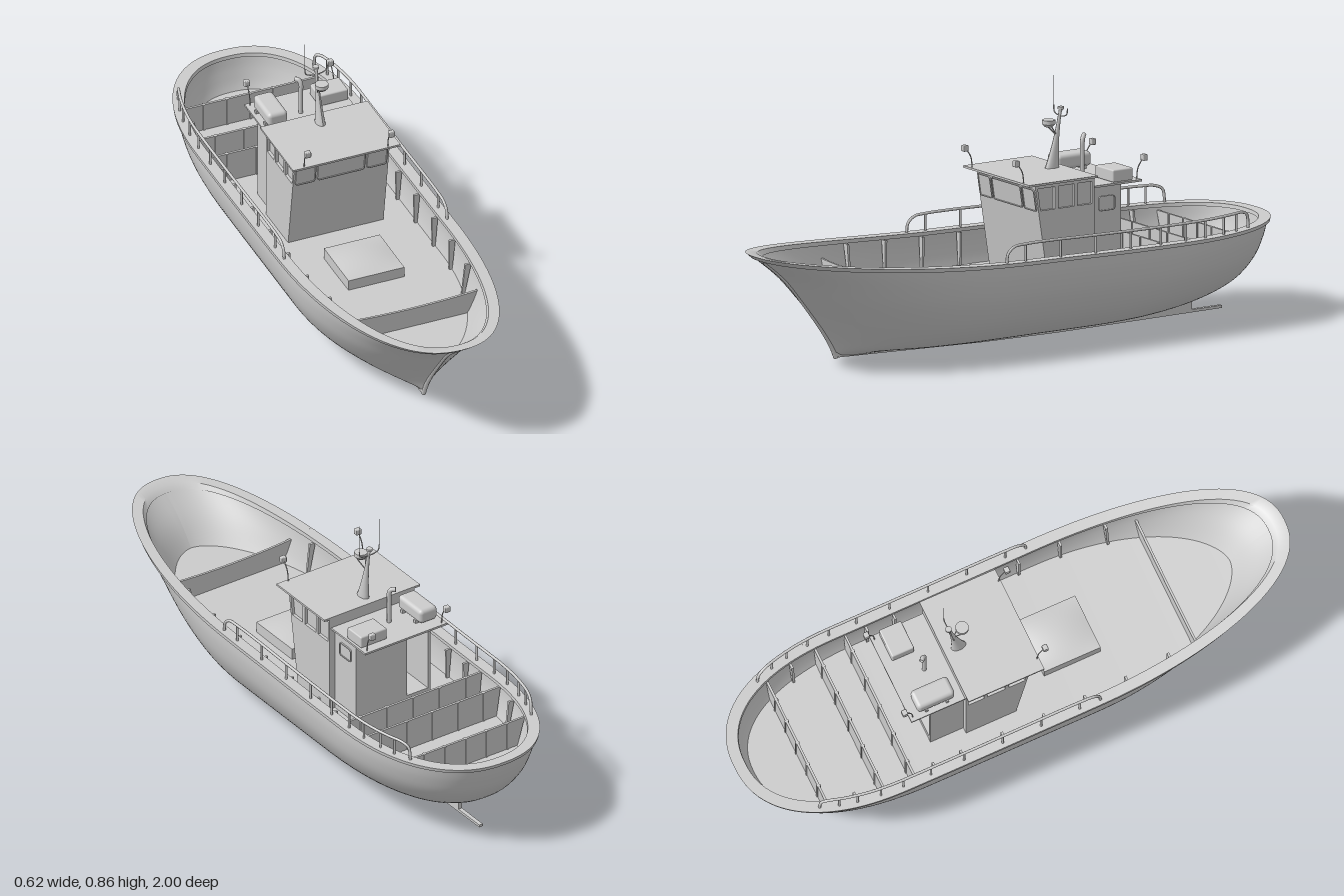
import * as THREE from 'three';
import { toCreasedNormals } from 'three/addons/utils/BufferGeometryUtils.js';
import { RoundedBoxGeometry } from 'three/addons/geometries/RoundedBoxGeometry.js';

const V = (x, y, z) => new THREE.Vector3(x, y, z);
const mat = new THREE.MeshStandardMaterial({ color: 0xcccccc, side: THREE.DoubleSide });
const DECK = 0.6; // deck level as a fraction of hull height

// Waterlines from keel to sheer: height amidships, half beam, bow z, stern z
const LEVELS = [
  [0.02, 0, 0.68, -0.42], [0.03, 0.07, 0.685, -0.5], [0.045, 0.153, 0.692, -0.6], [0.078, 0.205, 0.712, -0.76],
  [0.13, 0.25, 0.752, -0.88], [0.2, 0.285, 0.815, -0.945], [0.27, 0.3, 0.888, -0.975], [0.333, 0.302, 0.99, -0.99]];
const beamCurve = new THREE.CatmullRomCurve3(LEVELS.map(l => V(l[0], l[1], 0)), false, 'catmullrom', 0.5);
const endCurve = new THREE.CatmullRomCurve3(LEVELS.map(l => V(l[2], l[3], 0)), false, 'catmullrom', 0.5);

const sheer = z => (z > 0 ? 0.328 + 0.07 * z ** 1.7 : 0.328 - 0.008 * Math.sin(-Math.PI * Math.max(z, -1)));

// One waterline at curve parameter t, moved inward by inset
function waterline(t, inset = 0) {
  const b = beamCurve.getPoint(t), e = endCurve.getPoint(t);
  const v = THREE.MathUtils.clamp((b.x - 0.02) / 0.313, 0, 1);
  return {
    v, B: Math.max(b.y - inset, 0), zb: e.x - inset, zs: e.y + inset,
    zc: -0.1 - 0.4 * Math.sqrt(v), q: 0.43 + 0.55 * (1 - v) ** 1.4,
  };
}
// Curve parameter for a height fraction
function paramOf(v) {
  let lo = 0, hi = 1;
  for (let i = 0; i < 30; i++) {
    const m = (lo + hi) / 2;
    if ((beamCurve.getPoint(m).x - 0.02) / 0.313 < v) lo = m; else hi = m;
  }
  return hi;
}
function half(w, z) {
  if (z > 0.2) return w.B * Math.max(1 - ((z - 0.2) / (w.zb - 0.2)) ** 2.05, 0) ** w.q;
  if (z < w.zc) return w.B * Math.max(1 - ((z - w.zc) / (w.zs - w.zc)) ** 2.3, 0) ** (1 / 2.3);
  return w.B;
}
const heightAt = (v, z) => 0.02 + (sheer(z) - 0.02) * v;
// Points of one side of a waterline, bow to stern
function sidePoints(w, sign) {
  const zs = [], n = 28;
  for (let i = 0; i < n; i++) zs.push(0.2 + (w.zb - 0.2) * Math.cos((i / n) * Math.PI / 2));
  for (let i = 0; i < 8; i++) zs.push(THREE.MathUtils.lerp(0.2, w.zc, i / 8));
  for (let i = 0; i <= n; i++) zs.push(w.zc + (w.zs - w.zc) * Math.sin((i / n) * Math.PI / 2));
  return zs.map(z => V(sign * half(w, z), heightAt(w.v, z), z));
}
const loop = (t, inset) => {
  const w = waterline(t, inset);
  return [...sidePoints(w, 1), ...sidePoints(w, -1).reverse().slice(1)];
};
// Skin over rows of points
function skin(rows) {
  const n = rows[0].length, pos = rows.flat().flatMap(p => [p.x, p.y, p.z]), idx = [];
  for (let i = 0; i < rows.length - 1; i++) for (let j = 0; j < n - 1; j++) {
    const a = i * n + j, d = a + n;
    idx.push(a, a + 1, d + 1, a, d + 1, d);
  }
  const g = new THREE.BufferGeometry();
  g.setAttribute('position', new THREE.Float32BufferAttribute(pos, 3));
  g.setIndex(idx);
  g.computeVertexNormals();
  return g;
}

export function createModel() {
  const root = new THREE.Group();
  const add = (name, geo, x = 0, y = 0, z = 0) => {
    const m = new THREE.Mesh(geo, mat);
    m.name = name;
    m.position.set(x, y, z);
    root.add(m);
    return m;
  };
  const box = (name, w, h, d, x, y, z) => add(name, new THREE.BoxGeometry(w, h, d), x, y, z);
  const tube = (name, pts, r, seg = 24) =>
    add(name, new THREE.TubeGeometry(new THREE.CatmullRomCurve3(pts, false, 'centripetal'), seg, r, 8));
  const rod = (name, a, b, r1, r2 = r1) => {
    const m = add(name, new THREE.CylinderGeometry(r2, r1, a.distanceTo(b), 10));
    m.position.copy(a).lerp(b, 0.5);
    m.quaternion.setFromUnitVectors(V(0, 1, 0), b.clone().sub(a).normalize());
  };
  // Side profile given as (z, y), with holes, extruded across x
  const side = pts => pts.map(([z, y]) => new THREE.Vector2(-z, y));
  const profile = (name, pts, width, x = 0, holes = []) => {
    const s = new THREE.Shape(side(pts));
    s.holes = holes.map(h => new THREE.Path(side(h)));
    const g = new THREE.ExtrudeGeometry(s, { depth: width, bevelEnabled: false });
    g.translate(0, 0, -width / 2).rotateY(Math.PI / 2);
    return add(name, g, x);
  };

  // Hull, inner bulwark, gunwale and deck
  const tDeck = paramOf(DECK), tRim = paramOf(0.96);
  const steps = (a, b, n, inset) => Array.from({ length: n + 1 }, (_, i) => loop(a + (b - a) * i / n, inset));
  add('hull', skin(steps(0, 1, 30, 0)));
  add('innerBulwark', skin(steps(1, tDeck, 10, 0.022)));
  add('gunwale', toCreasedNormals(skin([loop(tRim, 0), loop(tRim, -0.009), loop(1, -0.009),
    loop(1, 0.03), loop(tRim, 0.03), loop(tRim, 0.018)]), 0.7));
  const wDeck = waterline(tDeck, 0.022), wTop = waterline(1, 0.027);
  add('deck', skin([sidePoints(wDeck, 1), sidePoints(wDeck, -1)]));
  const deckY = z => heightAt(DECK, z);

  // Keel, skeg and stem bar
  profile('keel', [[0.69, 0.04], [0.67, 0.022], [0.1, 0.004], [-0.2, 0], [-0.86, 0.004], [-0.86, 0.013], [-0.74, 0.013],
    [-0.74, 0.09], [-0.6, 0.06], [-0.4, 0.035], [0.3, 0.035]], 0.014);
  tube('stemBar', Array.from({ length: 12 }, (_, i) => {
    const w = waterline(i / 11 * 0.97);
    return V(0, heightAt(w.v, w.zb), w.zb - 0.003);
  }), 0.008, 40);

  // Transverse bulkheads, the aft ones with stiffeners
  for (const [z, sag, rise] of [[0.57, 0.01, 0.84], [-0.47, 0, 0.96], [-0.58, 0, 0.96], [-0.77, 0, 0.93]]) {
    const lo = half(wDeck, z), hi = half(wTop, z), y0 = deckY(z), y1 = heightAt(rise, z);
    const s = new THREE.Shape();
    s.moveTo(-lo, y0);
    s.lineTo(lo, y0);
    s.lineTo(hi, y1);
    s.quadraticCurveTo(0, y1 - 2 * sag, -hi, y1);
    add('bulkhead', new THREE.ExtrudeGeometry(s, { depth: 0.008, bevelEnabled: false, curveSegments: 16 }), 0, 0, z - 0.004);
    if (!sag) {
      for (let i = -2; i <= 2; i++) box('bulkheadStiffener', 0.006, y1 - y0, 0.014, i * lo * 0.4, (y0 + y1) / 2, z);
    }
  }

  // Bulwark frames and side rails
  for (const s of [1, -1]) {
    for (const z of [0.46, 0.3, 0.15, 0, -0.15, -0.3, -0.4, -0.68]) {
      const lo = half(wDeck, z), hi = half(wTop, z), y0 = deckY(z), y1 = sheer(z) - 0.012;
      const rib = new THREE.Shape([[lo, y0], [lo - 0.01, y0], [hi - 0.022, y1], [hi, y1]].map(p => new THREE.Vector2(...p)));
      add('bulwarkFrame', new THREE.ExtrudeGeometry(rib, { depth: 0.008, bevelEnabled: false }), 0, 0, z).scale.x = s;
    }
    const at = (z, h) => V(s * half(waterline(1, 0.01), z), sheer(z) + h, z);
    const top = [at(0.195, -0.005), at(0.19, 0.03), at(0.165, 0.052), at(0.12, 0.058)];
    for (let z = 0; z > -0.75; z -= 0.08) top.push(at(z, 0.06));
    top.push(at(-0.77, 0.058), at(-0.795, 0.045), at(-0.802, -0.005));
    tube('sideRail', top, 0.005, 100);
    for (const z of [0.12, -0.02, -0.16, -0.3, -0.42, -0.52, -0.6, -0.68, -0.74]) rod('railPost', at(z, -0.005), at(z, 0.06), 0.004);
  }

  // Cargo hatch with a domed lid
  const hy = deckY(0.18);
  box('hatchCoaming', 0.2, 0.04, 0.205, 0, hy + 0.02, 0.182);
  const lid = new THREE.PlaneGeometry(0.2, 0.205, 12, 12).rotateX(-Math.PI / 2);
  const lp = lid.attributes.position;
  for (let i = 0; i < lp.count; i++) {
    lp.setY(i, 0.012 * (1 - (lp.getX(i) / 0.1) ** 2) * (1 - (lp.getZ(i) / 0.1025) ** 2));
  }
  lid.computeVertexNormals();
  add('hatchLid', lid, 0, hy + 0.0402, 0.182);

  // Wheelhouse: solid core, side walls with window openings, raked front
  const base = 0.2;
  profile('wheelhouse', [[-0.055, base], [0, 0.552], [-0.237, 0.552], [-0.237, base]], 0.322);
  const panes = [
    [[-0.023, 0.46], [-0.012, 0.535], [-0.08, 0.535], [-0.08, 0.46]],
    [[-0.094, 0.46], [-0.094, 0.535], [-0.158, 0.535], [-0.158, 0.46]],
    [[-0.17, 0.46], [-0.17, 0.535], [-0.228, 0.535], [-0.228, 0.46]]];
  for (const s of [1, -1]) {
    profile('wheelhouseSide', [[-0.055, base], [0, 0.552], [-0.237, 0.552], [-0.237, base]], 0.011, s * 0.1655, panes);
  }
  box('wheelhouseRoof', 0.385, 0.007, 0.275, 0, 0.553, -0.1);

  // Aft house with a doorway recess in its right corner
  box('aftHouse', 0.205, 0.31, 0.122, 0.0475, base + 0.155, -0.297);
  box('doorwaySide', 0.01, 0.31, 0.12, -0.145, base + 0.155, -0.297);
  box('doorwayStep', 0.085, 0.03, 0.12, -0.097, base + 0.02, -0.297);
  box('doorwayLintel', 0.085, 0.02, 0.12, -0.097, 0.5, -0.297);
  box('door', 0.06, 0.26, 0.006, -0.097, base + 0.14, -0.24);
  box('aftRoof', 0.33, 0.007, 0.2, 0, 0.513, -0.332);

  // Framed windows: a thin rounded pane inside a raised ring
  const rounded = (P, w, h, r) => {
    const p = new P(), x = w / 2, y = h / 2;
    p.moveTo(-x + r, -y);
    p.absarc(x - r, -y + r, r, -Math.PI / 2, 0);
    p.absarc(x - r, y - r, r, 0, Math.PI / 2);
    p.absarc(-x + r, y - r, r, Math.PI / 2, Math.PI);
    p.absarc(-x + r, -y + r, r, Math.PI, Math.PI * 1.5);
    return p;
  };
  const windowAt = (w, h, x, y, z, ry, rx = 0) => {
    const ring = rounded(THREE.Shape, w, h, 0.01);
    ring.holes.push(rounded(THREE.Path, w - 0.007, h - 0.007, 0.007));
    const parts = [['windowFrame', ring, 0.005], ['windowPane', rounded(THREE.Shape, w - 0.006, h - 0.006, 0.007), 0.002]];
    for (const [name, shape, depth] of parts)
      add(name, new THREE.ExtrudeGeometry(shape, { depth, bevelEnabled: false, curveSegments: 5 }), x, y, z).rotation.set(rx, ry, 0);
  };
  const rake = Math.atan(0.055 / 0.352);
  for (const [x, w] of [[-0.128, 0.072], [0, 0.17], [0.128, 0.072]]) windowAt(w, 0.077, x, 0.495, -0.009, 0, rake);
  windowAt(0.065, 0.05, 0.15, 0.45, -0.3, Math.PI / 2);

  // Aft roof gear: raft canister, locker and exhaust
  add('raftCanister', new RoundedBoxGeometry(0.07, 0.05, 0.135, 4, 0.014), -0.115, 0.547, -0.333);
  for (const z of [-0.37, -0.295]) box('raftCradle', 0.076, 0.014, 0.01, -0.115, 0.522, z);
  add('roofLocker', new RoundedBoxGeometry(0.105, 0.042, 0.08, 2, 0.005), 0.107, 0.538, -0.36);
  tube('exhaustPipe', [V(-0.013, 0.51, -0.315), V(-0.013, 0.6, -0.315), V(-0.013, 0.63, -0.316), V(-0.017, 0.643, -0.322),
    V(-0.028, 0.645, -0.332)], 0.008, 30);

  // Mast with raked taper, radar and whip aerials
  const mast = new THREE.CylinderGeometry(1, 1, 0.2, 16, 10);
  const p = mast.attributes.position;
  for (let i = 0; i < p.count; i++) {
    const k = p.getY(i) / 0.2 + 0.5, r = 0.005 + 0.011 * (1 - k) ** 2;
    p.setXYZ(i, p.getX(i) * r, p.getY(i), p.getZ(i) * r * (1.7 - 0.7 * k) - 0.035 * k);
  }
  mast.computeVertexNormals();
  add('mast', mast, 0, 0.655, -0.185);
  rod('mastTop', V(0, 0.74, -0.22), V(0, 0.755, -0.221), 0.005);
  rod('mastLight', V(0, 0.75, -0.221), V(0, 0.758, -0.221), 0.011);
  add('radar', new THREE.CylinderGeometry(0.022, 0.022, 0.014, 24), 0, 0.712, -0.172);
  add('radarBase', new THREE.CylinderGeometry(0.02, 0.014, 0.008, 20), 0, 0.7, -0.172);
  for (const s of [1, -1]) {
    rod('radarBrace', V(s * 0.016, 0.699, -0.172), V(0, 0.662, -0.205), 0.002);
    tube('aerialArm', [V(0, 0.727, -0.217), V(s * 0.025, 0.731, -0.218), V(s * 0.037, 0.738, -0.219), V(s * 0.04, 0.757, -0.22)], 0.002);
    rod('aerial', V(s * 0.04, 0.755, -0.22), V(s * 0.04, 0.857, -0.22), 0.0005);
    // Floodlights on bent stalks, fore and aft
    for (const [z, y, d] of [[0.03, 0.553, 1], [-0.42, 0.514, -1]]) {
      tube('lampStalk', [V(s * 0.15, y, z), V(s * 0.15, y + 0.04, z + d * 0.006), V(s * 0.15, y + 0.068, z + d * 0.024)], 0.002);
      add('lamp', new RoundedBoxGeometry(0.02, 0.021, 0.018, 2, 0.003), s * 0.15, y + 0.072, z + d * 0.03);
    }
  }
  return root;
}
